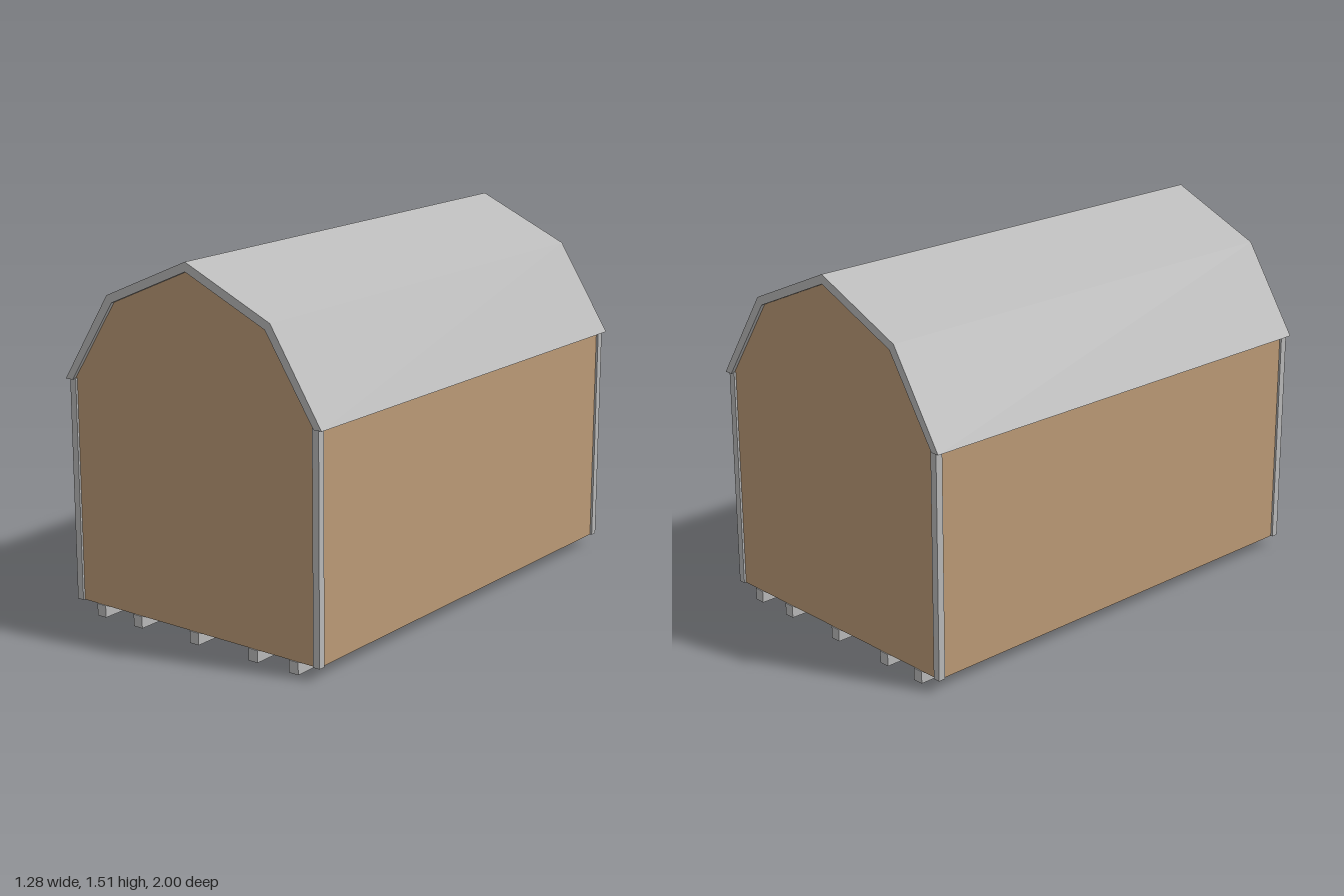
import * as THREE from 'three';

const wood = new THREE.MeshStandardMaterial({ name: 'tanSiding', color: 0xbc9b77, side: THREE.DoubleSide });
const grey = new THREE.MeshStandardMaterial({ name: 'greyTrim', color: 0xbababa });

// Half profiles, from ridge to eave
const OUTER = [[0, 1.513], [0.405, 1.335], [0.64, 0.97]];
const INNER = [[0, 1.475], [0.38, 1.308], [0.603, 0.97]];
const BASE = 0.05;
const EAVE = 0.975;

// Full line from left eave over the ridge to right eave
function mirrored(half) {
  const right = half.slice(1).map(([x, y]) => [-x, y]);
  return [...half.slice().reverse(), ...right].map(([x, y]) => new THREE.Vector2(x, y));
}

export function createModel() {
  const model = new THREE.Group();
  model.name = 'gambrelShed';

  function add(name, geometry, material, x = 0, y = 0, z = 0) {
    const mesh = new THREE.Mesh(geometry, material);
    mesh.name = name;
    mesh.position.set(x, y, z);
    model.add(mesh);
    return mesh;
  }

  // Roof shell
  const roofShape = new THREE.Shape([...mirrored(OUTER), ...mirrored(INNER).reverse()]);
  add('roof', new THREE.ExtrudeGeometry(roofShape, { depth: 2, bevelEnabled: false }), grey, 0, 0, -1);

  // Gable ends, thin sheets under the roof
  const gableShape = new THREE.Shape([
    new THREE.Vector2(0.613, BASE),
    new THREE.Vector2(0.613, 0.97),
    ...mirrored(INNER),
    new THREE.Vector2(-0.613, 0.97),
    new THREE.Vector2(-0.613, BASE),
  ]);
  for (const [name, side] of [['frontGable', 1], ['backGable', -1]]) {
    const gable = add(name, new THREE.ShapeGeometry(gableShape), wood, 0, 0, side * 0.985);
    if (side < 0) gable.rotation.y = Math.PI;
  }

  // Side walls
  const wallHeight = EAVE - BASE;
  for (const [name, side] of [['leftWall', 1], ['rightWall', -1]]) {
    const wall = add(name, new THREE.PlaneGeometry(1.97, wallHeight), wood, side * 0.613, BASE + wallHeight / 2, 0);
    wall.rotation.y = side * Math.PI / 2;
  }

  // Corner posts
  for (const sx of [-1, 1]) {
    for (const sz of [-1, 1]) {
      add('cornerPost', new THREE.BoxGeometry(0.03, wallHeight, 0.03), grey, sx * 0.607, BASE + wallHeight / 2, sz * 0.979);
    }
  }

  // Runners under the open base
  for (const x of [-0.495, -0.297, 0, 0.297, 0.495]) {
    add('runner', new THREE.BoxGeometry(0.045, BASE, 1.98), grey, x, BASE / 2, 0);
  }

  return model;
}
